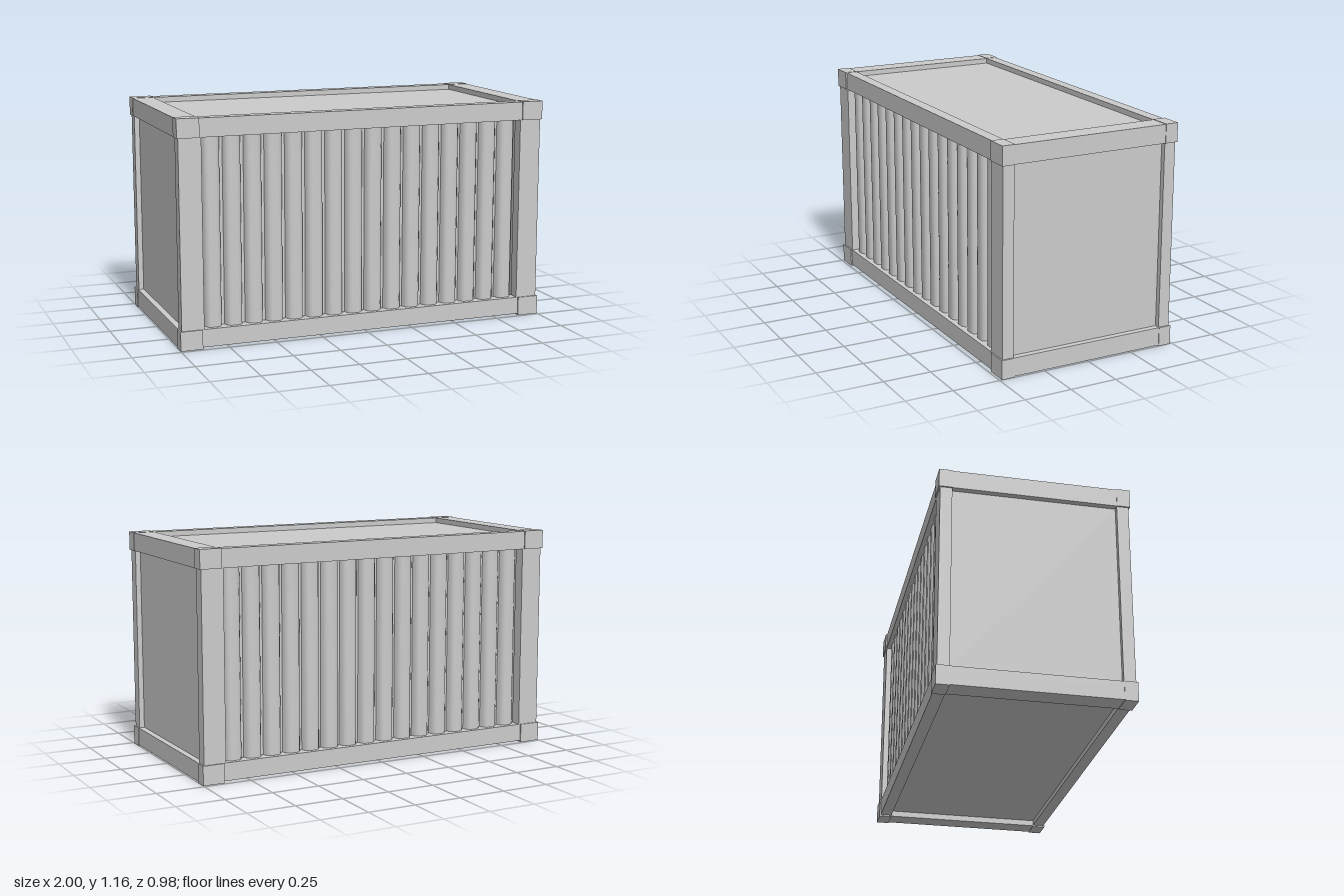
import * as THREE from 'three';
import { toCreasedNormals } from 'three/addons/utils/BufferGeometryUtils.js';

const H = 1.165, LOW = 0.1, HIGH = 1.067; // overall height, opening bottom and top
const material = new THREE.MeshStandardMaterial({ color: 0xcccccc });

export function createModel() {
  const container = new THREE.Group();
  container.name = 'cargoContainer';

  const add = (name, geometry) => {
    const mesh = new THREE.Mesh(geometry, material);
    mesh.name = name;
    container.add(mesh);
    return mesh;
  };
  // box given by its lower and upper limits
  const block = (name, x0, x1, y0, y1, z0, z1) =>
    add(name, new THREE.BoxGeometry(x1 - x0, y1 - y0, z1 - z0)
      .translate((x0 + x1) / 2, (y0 + y1) / 2, (z0 + z1) / 2));
  // box mirrored to the given signs of x and z
  const mirrored = (name, sx, sz, x0, x1, y0, y1, z0, z1) => {
    const [a, b] = sx < 0 ? [-x1, -x0] : [x0, x1];
    const [c, d] = sz < 0 ? [-z1, -z0] : [z0, z1];
    return block(name, a, b, y0, y1, c, d);
  };

  // corner castings and posts
  for (const sx of [-1, 1]) {
    for (const sz of [-1, 1]) {
      mirrored('bottomCorner', sx, sz, 0.885, 1, 0, LOW, 0.42, 0.488);
      mirrored('topCorner', sx, sz, 0.885, 1, HIGH, H, 0.42, 0.488);
      mirrored('cornerPost', sx, sz, 0.875, 0.992, LOW, HIGH, 0.42, 0.481);
    }
  }

  // long rails, end rails and end walls
  for (const s of [-1, 1]) {
    mirrored('bottomSideRail', 1, s, -0.885, 0.885, 0.008, LOW, 0.42, 0.481);
    mirrored('topSideRail', 1, s, -0.885, 0.885, HIGH, H - 0.002, 0.42, 0.481);
    mirrored('bottomEndRail', s, 1, 0.885, 0.997, 0.004, LOW, -0.42, 0.42);
    mirrored('topEndRail', s, 1, 0.885, 0.997, HIGH, H - 0.002, -0.42, 0.42);
    mirrored('endWall', s, 1, 0.9, 0.965, LOW, HIGH, -0.42, 0.42);
  }

  // recessed roof and floor
  block('roof', -0.885, 0.885, 1.09, H - 0.03, -0.42, 0.42);
  block('floor', -0.885, 0.885, 0.035, 0.075, -0.42, 0.42);

  // corrugated side walls: one rounded rib repeated along the length
  const RIBS = 16, PITCH = 0.1085, START = -RIBS * PITCH / 2, BASE = 0.418, THICK = 0.008;
  const rib = [[0, 0], [0.008, 0], [0.014, 0.022], [0.023, 0.034], [0.036, 0.04],
    [0.0725, 0.04], [0.0855, 0.034], [0.0945, 0.022], [0.1005, 0]];
  const outline = [];
  for (let i = 0; i < RIBS; i++) {
    for (const [u, d] of rib) outline.push(new THREE.Vector2(START + i * PITCH + u, BASE + d));
  }
  outline.push(new THREE.Vector2(-START, BASE));
  const inner = outline.map(p => new THREE.Vector2(p.x, p.y - THICK)).reverse();
  const sheet = toCreasedNormals(
    new THREE.ExtrudeGeometry(new THREE.Shape([...outline, ...inner]),
      { depth: HIGH - LOW, bevelEnabled: false })
      .rotateX(Math.PI / 2).translate(0, HIGH, 0), 0.65);
  add('frontCorrugatedWall', sheet);
  add('backCorrugatedWall', sheet).rotation.y = Math.PI;

  return container;
}
